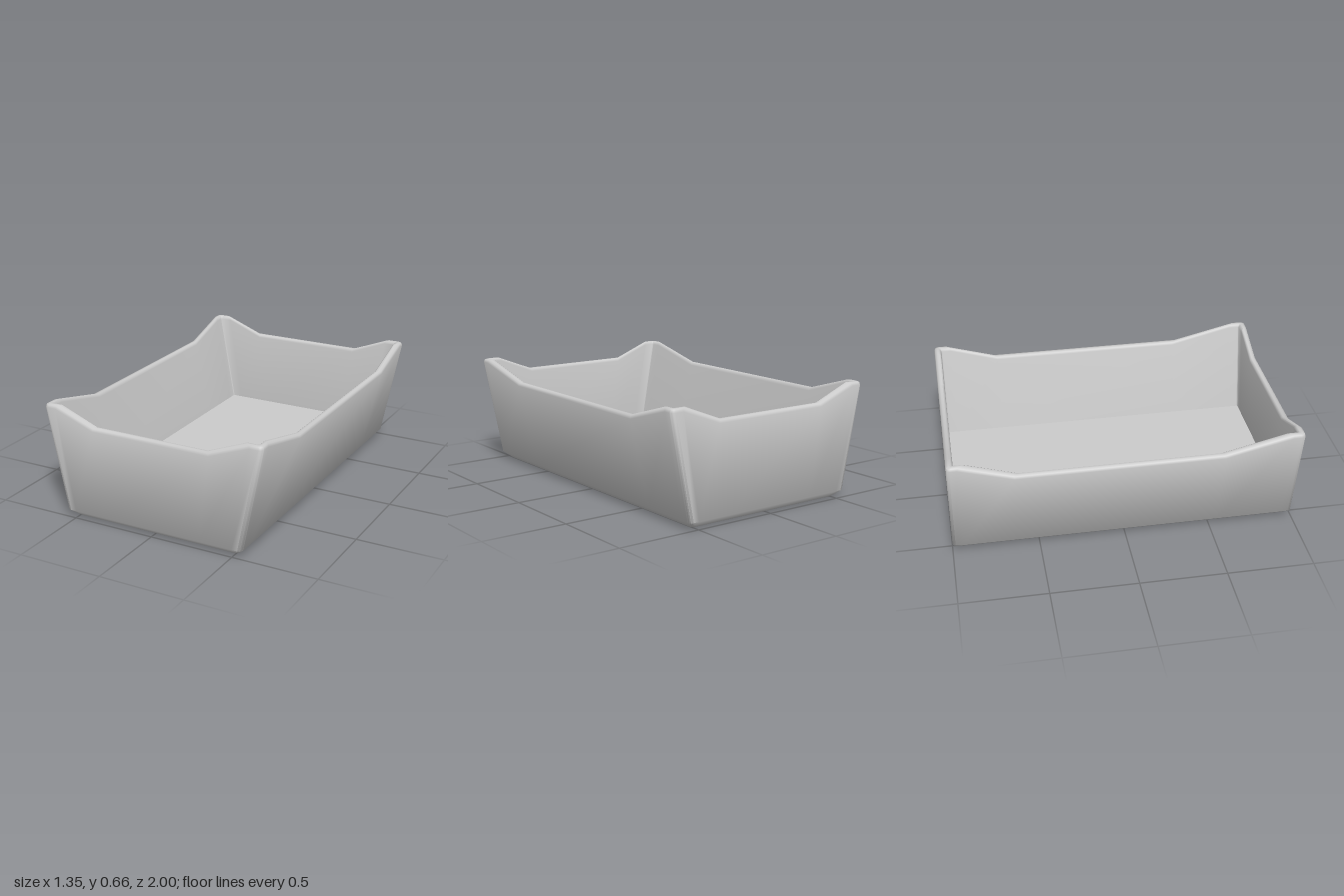
import * as THREE from 'three';
import { toCreasedNormals } from 'three/addons/utils/BufferGeometryUtils.js';

const HIGH = 0.66, LOW = 0.57, ARC = 5;

// Rim breaks along each side, as [fraction of half length, rim height]
const longSide = [[0.93, HIGH], [0.545, LOW], [-0.635, LOW], [-0.94, HIGH]];
const shortSide = [[0.89, HIGH], [0.535, LOW], [-0.535, LOW], [-0.89, HIGH]];

// The four corners in walking order, each with the side that follows it
const corners = [
  { sx: 1, sz: 1, side: longSide, at: (f, hx, hz) => [hx, f * hz] },
  { sx: 1, sz: -1, side: shortSide, at: (f, hx, hz) => [f * hx, -hz] },
  { sx: -1, sz: -1, side: longSide.slice().reverse(), at: (f, hx, hz) => [-hx, f * hz] },
  { sx: -1, sz: 1, side: shortSide.slice().reverse(), at: (f, hx, hz) => [f * hx, hz] },
];

// One closed loop: a rectangle with rounded corners and the rim breaks on its sides
function loop(hx, hz, r, heightAt) {
  const pts = [];
  corners.forEach(({ sx, sz, side, at }, k) => {
    for (let i = 0; i <= ARC; i++) {
      const a = (k - 1 + i / ARC) * Math.PI / 2;
      pts.push([sx * (hx - r) + r * Math.cos(a), heightAt(HIGH), sz * (hz - r) - r * Math.sin(a)]);
    }
    for (const [f, h] of side) {
      const [x, z] = at(f, hx, hz);
      pts.push([x, heightAt(h), z]);
    }
  });
  return pts;
}

function trayGeometry() {
  const fixed = y => () => y;
  const rim = d => h => h - d;
  // Cross-section from the underside, up the flared wall, over the rim, down to the floor
  const sections = [
    [0.49, 0.935, 0.02, fixed(0)],
    [0.51, 0.955, 0.02, fixed(0.003)],
    [0.556, 0.999, 0.025, fixed(0.042)],
    [0.675, 1.0, 0.025, rim(0.02)],
    [0.67, 0.995, 0.023, rim(0.005)],
    [0.658, 0.983, 0.018, rim(0)],
    [0.645, 0.97, 0.014, rim(0)],
    [0.637, 0.962, 0.01, rim(0.006)],
    [0.633, 0.958, 0.008, rim(0.02)],
    [0.535, 0.957, 0.008, fixed(0.1)],
  ];
  const rings = sections.map(s => loop(...s));
  const n = rings[0].length;
  const pos = rings.flat(2);
  const index = [];
  for (let i = 0; i < rings.length - 1; i++) {
    for (let j = 0; j < n; j++) {
      const a = i * n + j, b = i * n + (j + 1) % n;
      index.push(a, b, b + n, a, b + n, a + n);
    }
  }
  // Underside and floor each close on a centre point
  const under = pos.length / 3, floor = under + 1, last = (rings.length - 1) * n;
  pos.push(0, 0, 0, 0, 0.1, 0);
  for (let j = 0; j < n; j++) {
    const k = (j + 1) % n;
    index.push(under, k, j, floor, last + j, last + k);
  }
  const g = new THREE.BufferGeometry();
  g.setAttribute('position', new THREE.Float32BufferAttribute(pos, 3));
  g.setIndex(index);
  return toCreasedNormals(g, 0.9);
}

export function createModel() {
  const group = new THREE.Group();
  group.name = 'tray';
  const material = new THREE.MeshStandardMaterial({ color: 0xcccccc });
  const body = new THREE.Mesh(trayGeometry(), material);
  body.name = 'trayBody';
  group.add(body);
  return group;
}
